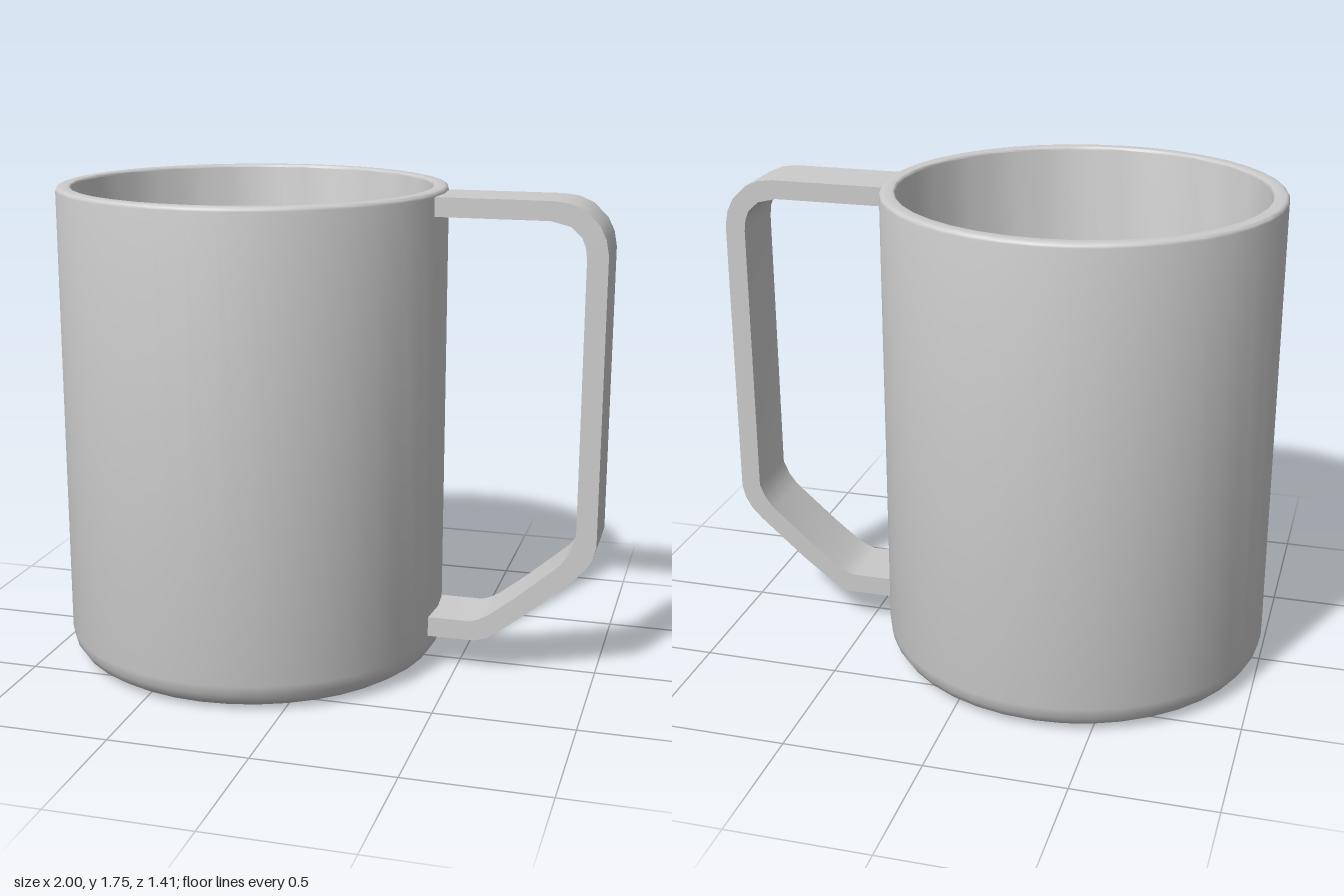
import * as THREE from 'three';
import { toCreasedNormals } from 'three/addons/utils/BufferGeometryUtils.js';

const CUP_X = -0.295;
const R = 0.705, INNER_R = 0.65, HEIGHT = 1.75, FLOOR = 0.05;

// quarter-round points about (cx, cy), from angle a to angle b in degrees
function arc(cx, cy, r, a, b, steps) {
  return Array.from({ length: steps + 1 }, (_, i) => {
    const t = THREE.MathUtils.degToRad(a + (b - a) * i / steps);
    return new THREE.Vector2(cx + r * Math.cos(t), cy + r * Math.sin(t));
  });
}

export function createModel() {
  const model = new THREE.Group();
  model.name = 'mug';
  const material = new THREE.MeshStandardMaterial({ color: 0xcccccc });

  function add(name, geometry) {
    const mesh = new THREE.Mesh(toCreasedNormals(geometry, 0.65), material);
    mesh.name = name;
    model.add(mesh);
    return mesh;
  }

  // Hollow cup: rounded base, outer wall, softened rim, inner wall, floor
  const profile = [
    new THREE.Vector2(0, 0),
    ...arc(R - 0.1, 0.1, 0.1, -90, 0, 4),
    ...arc(R - 0.015, HEIGHT - 0.015, 0.015, 0, 90, 3),
    ...arc(INNER_R + 0.01, HEIGHT - 0.01, 0.01, 90, 180, 3),
    ...arc(INNER_R - 0.08, FLOOR + 0.08, 0.08, 0, -90, 4),
    new THREE.Vector2(0, FLOOR),
  ];
  add('cup', new THREE.LatheGeometry(profile, 40)).position.x = CUP_X;

  // Flat strap handle: outer edge down, inner edge back up
  const outer = [
    [0.38, 1.735], [0.81, 1.735], [0.865, 1.728], [0.915, 1.707], [0.967, 1.657],
    [0.99, 1.61], [1, 1.556], [1, 0.524], [0.987, 0.475], [0.963, 0.435],
    [0.925, 0.395], [0.76, 0.25], [0.655, 0.168], [0.615, 0.14], [0.57, 0.127], [0.38, 0.127],
  ];
  const inner = [
    [0.38, 0.2], [0.555, 0.2], [0.585, 0.21], [0.62, 0.23], [0.715, 0.305], [0.875, 0.445],
    [0.905, 0.485], [0.927, 0.535], [0.927, 1.54], [0.922, 1.58], [0.908, 1.615],
    [0.87, 1.65], [0.8, 1.667], [0.38, 1.667],
  ];
  const shape = new THREE.Shape([...outer, ...inner].map(([x, y]) => new THREE.Vector2(x, y)));
  const width = 0.24;
  const strap = new THREE.ExtrudeGeometry(shape, { depth: width, bevelEnabled: false });
  strap.translate(0, 0, -width / 2);
  add('handle', strap);

  return model;
}
